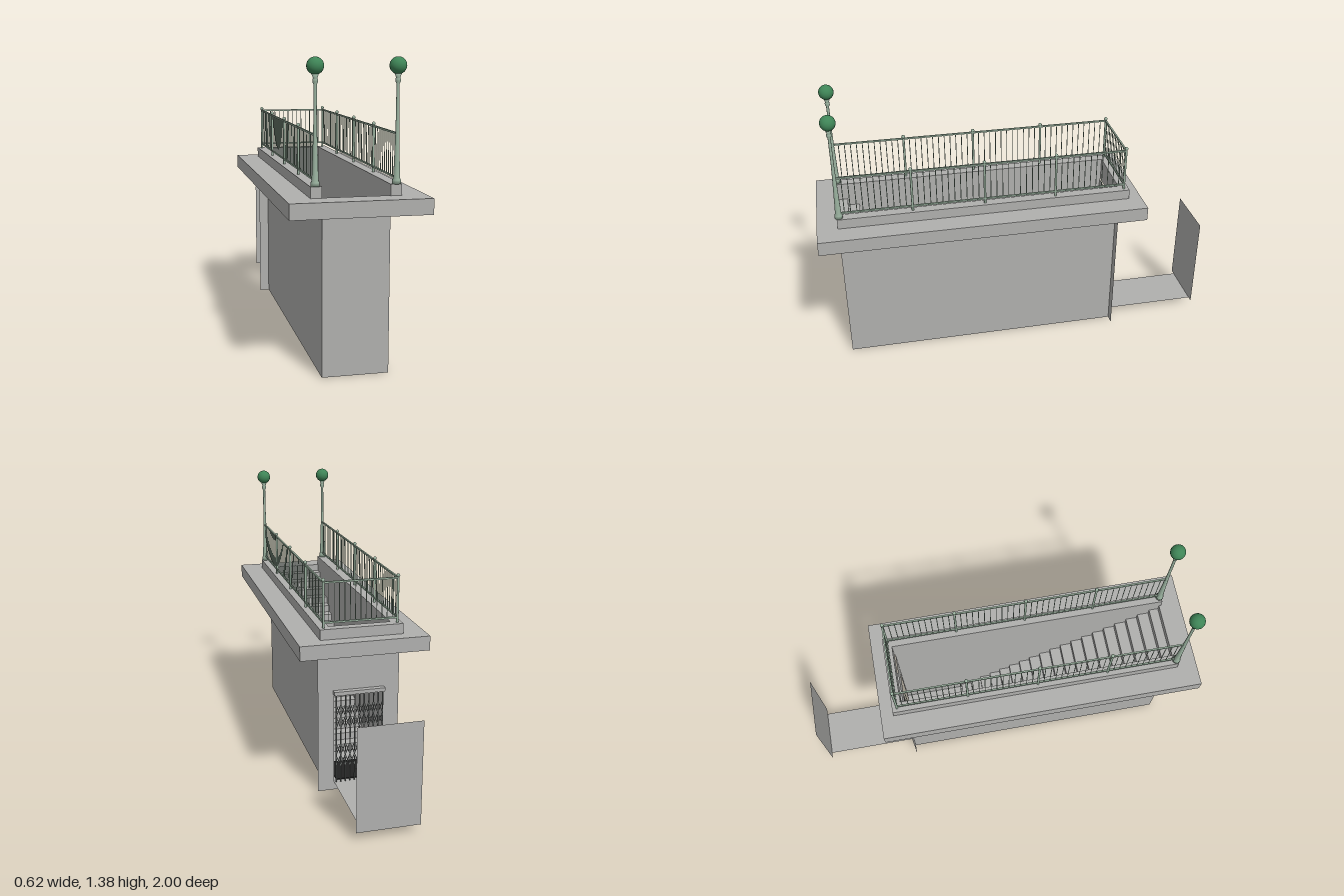
import * as THREE from 'three';

const mat = (name, color, double) => {
  const m = new THREE.MeshStandardMaterial({ color });
  m.name = name;
  if (double) m.side = THREE.DoubleSide;
  return m;
};

export function createModel() {
  const concrete = mat('concrete', 0xb0b0ae, true);
  const paint = mat('pale green paint', 0x9bb3a0);
  const globe = mat('green globe', 0x3f8557);
  const steel = mat('gate steel', 0x6c706e);
  const black = mat('black', 0x222222);

  const root = new THREE.Group();
  root.name = 'stationEntrance';
  const group = (name) => {
    const g = new THREE.Group();
    g.name = name;
    root.add(g);
    return g;
  };
  const add = (parent, name, geo, material, x = 0, y = 0, z = 0) => {
    const m = new THREE.Mesh(geo, material);
    m.name = name;
    m.position.set(x, y, z);
    parent.add(m);
    return m;
  };
  // box given by its min and max corners
  const box = (parent, name, material, x0, x1, y0, y1, z0, z1) =>
    add(parent, name, new THREE.BoxGeometry(x1 - x0, y1 - y0, z1 - z0), material,
      (x0 + x1) / 2, (y0 + y1) / 2, (z0 + z1) / 2);
  const rectPath = (target, x0, x1, y0, y1) => target.moveTo(x0, y0)
    .lineTo(x1, y0).lineTo(x1, y1).lineTo(x0, y1).closePath();

  // Pavement slab with the stair opening cut through
  const slab = rectPath(new THREE.Shape(), -0.31, 0.31, -1, 0.63);
  slab.holes.push(rectPath(new THREE.Path(), -0.15, 0.15, -0.89, 0.52));
  const slabGeo = new THREE.ExtrudeGeometry(slab, { depth: 0.07, bevelEnabled: false });
  slabGeo.rotateX(-Math.PI / 2);
  add(root, 'pavement', slabGeo, concrete, 0, 0.72, 0);

  // Curb on three sides of the opening
  const curb = rectPath(new THREE.Shape(), -0.2, 0.2, -0.9, 0.565);
  curb.curves.length = 0;
  curb.moveTo(-0.2, -0.9).lineTo(-0.15, -0.9).lineTo(-0.15, 0.52).lineTo(0.15, 0.52)
    .lineTo(0.15, -0.9).lineTo(0.2, -0.9).lineTo(0.2, 0.565).lineTo(-0.2, 0.565).closePath();
  const curbGeo = new THREE.ExtrudeGeometry(curb, { depth: 0.05, bevelEnabled: false });
  curbGeo.rotateX(-Math.PI / 2);
  add(root, 'curb', curbGeo, concrete, 0, 0.79, 0);

  // Stairwell side walls
  for (const s of [-1, 1]) {
    const wall = add(root, 'sideWall', new THREE.PlaneGeometry(1.415, 0.79), concrete, s * 0.15, 0.395, 0.1925);
    wall.rotation.y = s * Math.PI / 2;
  }

  // Rear wall with the doorway
  const rear = rectPath(new THREE.Shape(), -0.2, 0.2, 0, 0.72);
  rear.holes.push(rectPath(new THREE.Path(), -0.12, 0.12, 0.04, 0.51));
  add(root, 'rearWall', new THREE.ShapeGeometry(rear), concrete, 0, 0, -0.515);

  // Stairs: full-height risers and treads, open underneath
  const stairs = group('stairs');
  const steps = 19, zStart = -0.19, run = (0.9 - zStart) / steps;
  for (let i = 0; i < steps; i++) {
    const h = 0.04 + (i + 1) * 0.0375;
    const z = zStart + i * run;
    add(stairs, 'riser', new THREE.PlaneGeometry(0.3, h), concrete, 0, h / 2, z).rotation.y = Math.PI;
    add(stairs, 'tread', new THREE.PlaneGeometry(0.3, run), concrete, 0, h, z + run / 2).rotation.x = -Math.PI / 2;
  }
  add(stairs, 'frontWall', new THREE.PlaneGeometry(0.3, 0.7525), concrete, 0, 0.37625, 0.9);

  // Hall floor, passage floor and the wall at its end
  const floor = (name, w, z0, z1) => {
    add(root, name, new THREE.PlaneGeometry(w, z1 - z0), concrete, 0, 0.04, (z0 + z1) / 2).rotation.x = -Math.PI / 2;
  };
  floor('hallFloor', 0.3, -0.515, -0.19);
  floor('passageFloor', 0.24, -1, -0.515);
  add(root, 'passageEndWall', new THREE.PlaneGeometry(0.3, 0.5), concrete, 0, 0.29, -1);

  // Black floor patch
  box(root, 'floorPatch', black, -0.145, 0.105, 0.041, 0.046, -0.415, -0.31);
  box(root, 'floorPatch', black, -0.02, 0.105, 0.041, 0.046, -0.5, -0.415);

  // Folding gate: bars joined by two bands of crossed links
  const gate = group('gate');
  const bars = 11, gap = 0.023, zGate = -0.535;
  box(gate, 'gateLintel', concrete, -0.125, 0.125, 0.5, 0.518, -0.541, -0.515);
  const barGeo = new THREE.BoxGeometry(0.005, 0.45, 0.005);
  const linkLength = Math.hypot(gap, 0.06);
  const linkGeo = new THREE.BoxGeometry(0.004, linkLength, 0.002);
  for (let i = 0; i < bars; i++) {
    const x = (i - (bars - 1) / 2) * gap;
    add(gate, 'gateBar', barGeo, steel, x, 0.275, zGate);
    if (i === bars - 1) break;
    for (const y of [0.16, 0.22, 0.36, 0.42]) for (const s of [-1, 1]) {
      const link = add(gate, 'gateLink', linkGeo, steel, x + gap / 2, y, zGate + s * 0.002);
      link.rotation.z = s * Math.atan2(gap, 0.06);
    }
  }
  box(gate, 'gateHandle', steel, -0.008, 0.008, 0.25, 0.28, -0.531, -0.525);

  // Railing
  const railing = group('railing');
  const railX = 0.178, zBack = -0.54, zFront = 0.89, bay = (zFront - zBack) / 4;
  const balusterGeo = new THREE.CylinderGeometry(0.002, 0.002, 0.19, 6);
  const postGeo = new THREE.CylinderGeometry(0.006, 0.006, 0.22, 8);
  const capGeo = new THREE.SphereGeometry(0.009, 10, 8);
  for (const s of [-1, 1]) {
    const x = s * railX;
    for (const y of [0.865, 1.055]) {
      box(railing, 'sideRail', paint, x - 0.004, x + 0.004, y - 0.004, y + 0.004, zBack, zFront);
    }
    for (let b = 0; b < 4; b++) {
      const z = zBack + b * bay;
      add(railing, 'railPost', postGeo, paint, x, 0.95, z);
      add(railing, 'postCap', capGeo, paint, x, 1.066, z);
      for (let i = 1; i < 12; i++) {
        add(railing, 'baluster', balusterGeo, paint, x, 0.96, z + i * bay / 12);
      }
    }
  }
  for (const y of [0.865, 1.055]) {
    box(railing, 'backRail', paint, -railX, railX, y - 0.004, y + 0.004, zBack - 0.004, zBack + 0.004);
  }
  for (let i = 1; i < 14; i++) {
    add(railing, 'baluster', balusterGeo, paint, -railX + i * railX / 7, 0.96, zBack);
  }

  // Lamp posts with globes
  const profile = [[0, 0.84], [0.02, 0.84], [0.019, 0.857], [0.015, 0.865], [0.013, 0.92], [0.009, 1.05],
    [0.007, 1.14], [0.007, 1.265], [0.012, 1.275], [0.012, 1.285], [0.009, 1.29], [0.016, 1.308], [0, 1.308]];
  const lampGeo = new THREE.LatheGeometry(profile.map(([r, y]) => new THREE.Vector2(r, y)), 12);
  const globeGeo = new THREE.SphereGeometry(0.037, 24, 16);
  for (const s of [-1, 1]) {
    const lamp = group(s > 0 ? 'leftLamp' : 'rightLamp');
    add(lamp, 'lampPost', lampGeo, paint, s * railX, 0, zFront);
    add(lamp, 'lampGlobe', globeGeo, globe, s * railX, 1.341, zFront);
  }
  return root;
}
